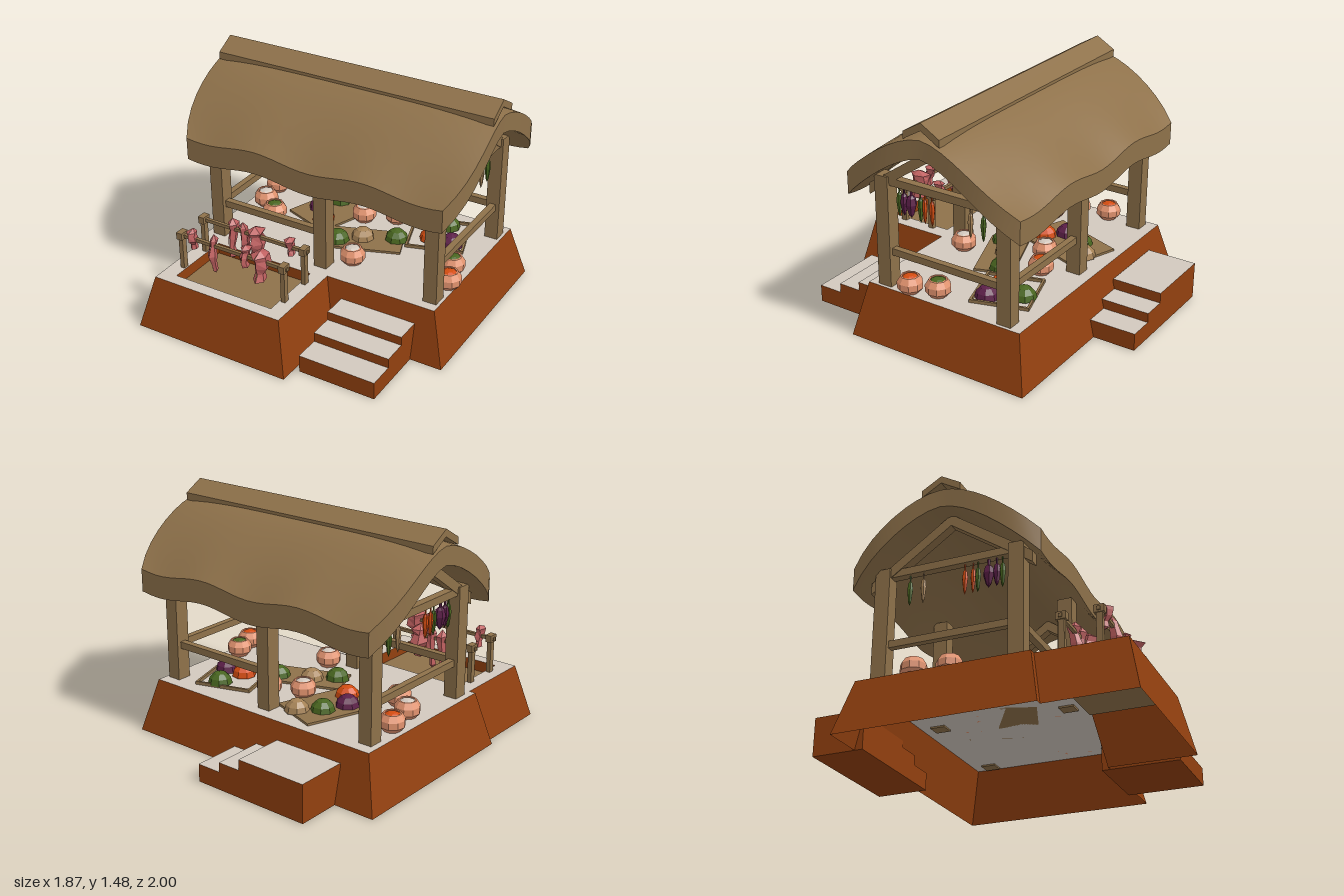
import * as THREE from 'three';
import { toCreasedNormals } from 'three/addons/utils/BufferGeometryUtils.js';

const mat = (name, color, extra = {}) => Object.assign(new THREE.MeshStandardMaterial({ color, ...extra }), { name });
const double = { side: THREE.DoubleSide };
const M = {
  clay: mat('clay', 0x92400f, double),
  plaster: mat('plaster', 0xd2c8be, double),
  wood: mat('wood', 0x8e714a, double),
  meat: mat('meat', 0xbf6060),
  terracotta: mat('terracotta', 0xe2936f, double),
  green: mat('green', 0x48651f),
  purple: mat('purple', 0x5c1f48),
  orange: mat('orange', 0xd34c10),
  tan: mat('tan', 0xa58256),
};
const FLOOR = 0.335, RIDGE_Z = -0.11;

export function createModel() {
  const model = new THREE.Group();
  const add = (name, geo, material, x = 0, y = 0, z = 0) => {
    const mesh = new THREE.Mesh(geo, material);
    mesh.name = name;
    mesh.position.set(x, y, z);
    model.add(mesh);
    return mesh;
  };
  // box given by its limits
  const box = (name, material, x0, x1, y0, y1, z0, z1) =>
    add(name, new THREE.BoxGeometry(x1 - x0, y1 - y0, z1 - z0), material, (x0 + x1) / 2, (y0 + y1) / 2, (z0 + z1) / 2);
  const faceted = (geo) => {
    const g = geo.index ? geo.toNonIndexed() : geo;
    g.computeVertexNormals();
    return g;
  };
  // wall between two closed outlines of [x, z] points
  const wall = (low, y0, high, y1) => {
    const pos = [];
    low.forEach((p, i) => {
      const j = (i + 1) % low.length;
      const a = [p[0], y0, p[1]], b = [low[j][0], y0, low[j][1]];
      const c = [high[j][0], y1, high[j][1]], d = [high[i][0], y1, high[i][1]];
      pos.push(...a, ...b, ...c, ...a, ...c, ...d);
    });
    const g = new THREE.BufferGeometry();
    g.setAttribute('position', new THREE.Float32BufferAttribute(pos, 3));
    return faceted(g);
  };

  // hollow sloping platform with a sunken pit in its front wing
  const foot = [[-0.92, -0.73], [-0.92, 0.47], [-0.88, 0.47], [-0.88, 1], [0.155, 1], [0.155, 0.47], [0.88, 0.47], [0.88, -0.73]];
  const rim = [[-0.83, -0.65], [-0.83, 0.4], [-0.79, 0.4], [-0.79, 0.925], [0.08, 0.925], [0.08, 0.4], [0.79, 0.4], [0.79, -0.65]];
  const pit = [[-0.69, 0.43], [-0.02, 0.43], [-0.02, 0.85], [-0.69, 0.85]];
  add('platformWall', wall(foot, 0, rim, FLOOR), M.clay);
  const flat = (pts) => pts.map(([x, z]) => new THREE.Vector2(x, -z));
  const floor = new THREE.Shape(flat(rim));
  floor.holes.push(new THREE.Path(flat(pit)));
  add('platformFloor', new THREE.ShapeGeometry(floor).rotateX(-Math.PI / 2), M.plaster, 0, FLOOR, 0);
  add('pitWall', wall(pit, FLOOR - 0.07, pit, FLOOR), M.clay);
  add('pitFloor', new THREE.ShapeGeometry(new THREE.Shape(flat(pit))).rotateX(-Math.PI / 2), M.wood, 0, FLOOR - 0.07, 0);

  // stairs with pale treads
  const tread = [M.clay, M.clay, M.plaster, M.clay, M.clay, M.clay];
  [[0.89, 0.72, 0.11], [0.73, 0.575, 0.17], [0.58, 0.42, 0.225]].forEach(([z1, z0, h]) =>
    box('frontStep', tread, 0.19, 0.68, 0, h, z0, z1));
  [[-0.66, -0.2, 0.235], [-0.2, -0.05, 0.17], [-0.05, 0.11, 0.11]].forEach(([x0, x1, h]) =>
    box('backStep', tread, x0, x1, 0, h, -1, -0.68));

  // posts and rails
  for (const x of [-0.748, -0.008, 0.728])
    for (const z of [0.295, -0.533])
      box('post', M.wood, x - 0.043, x + 0.043, FLOOR - 0.01, 1.03, z - 0.046, z + 0.046);
  box('frontRail', M.wood, -0.71, -0.05, 0.535, 0.578, 0.275, 0.315);
  box('backRail', M.wood, 0.03, 0.69, 0.535, 0.578, -0.553, -0.513);

  // bent board running along x
  const chevron = (apex, half, drop, thick, x0, x1) => {
    const s = new THREE.Shape([[0, apex], [-half, apex - drop], [-half, apex - drop - thick], [0, apex - thick],
      [half, apex - drop - thick], [half, apex - drop]].map((p) => new THREE.Vector2(...p)));
    return new THREE.ExtrudeGeometry(s, { depth: x1 - x0, bevelEnabled: false }).rotateY(Math.PI / 2).translate(x0, 0, RIDGE_Z);
  };

  // hanging produce: z, colour, radius
  const strings = [[0.2, 'green', 0.018], [0.165, 'purple', 0.024], [0.115, 'purple', 0.034], [0.05, 'green', 0.018],
    [0.02, 'orange', 0.016], [-0.03, 'orange', 0.018], [-0.29, 'tan', 0.018], [-0.375, 'green', 0.018]];
  for (const x of [-0.748, 0.728]) {
    box('sideRail', M.wood, x - 0.02, x + 0.02, 0.535, 0.578, -0.49, 0.25);
    box('tieBeam', M.wood, x - 0.025, x + 0.025, 0.975, 1.022, -0.49, 0.25);
    add('rafters', chevron(1.305, 0.5, 0.345, 0.07, x - 0.03, x + 0.03), M.wood);
    for (const [z, color, r] of strings) {
      const tip = color === 'purple' ? 0.8 : 0.785;
      const profile = [[0, tip], [r * 0.5, tip + 0.025], [r, 0.885], [r * 0.75, 0.925], [r * 0.25, 0.94], [r * 0.25, 0.98]];
      add('hangingVegetable', faceted(new THREE.LatheGeometry(profile.map((p) => new THREE.Vector2(...p)), 6)), M[color], x, 0, z);
    }
  }

  // thatched roof: closed curved section swept along x, with wavy eaves
  const NX = 28, NT = 16, pos = [], index = [], loop = 2 * (NT + 1);
  const roofPoint = (s, t, inner) => {
    const a = Math.abs(t);
    const x = s * (0.925 + 0.03 * a - 0.105 * a ** 4);
    const wave = 0.02 + 0.02 * Math.cos((x + 0.37) * 8.73);
    const y = (inner ? 1.31 - 0.42 * a ** 1.6 : 1.42 - 0.39 * a ** 1.7) + wave * a ** 4 - 0.035 * s ** 4 * (1 - a ** 4);
    return [x, y, RIDGE_Z + 0.58 * t];
  };
  for (let i = 0; i <= NX; i++) {
    const s = -1 + (2 * i) / NX;
    for (let j = 0; j <= NT; j++) pos.push(...roofPoint(s, -1 + (2 * j) / NT, false));
    for (let j = NT; j >= 0; j--) pos.push(...roofPoint(s, -1 + (2 * j) / NT, true));
  }
  for (let i = 0; i < NX; i++)
    for (let j = 0; j < loop; j++) {
      const a = i * loop + j, b = i * loop + ((j + 1) % loop);
      index.push(a, b, b + loop, a, b + loop, a + loop);
    }
  for (let j = 0; j < NT; j++) {
    const o = j, p = j + 1, q = loop - 2 - j, r = loop - 1 - j, e = NX * loop;
    index.push(o, q, p, o, r, q, e + o, e + p, e + q, e + o, e + q, e + r);
  }
  const roof = new THREE.BufferGeometry();
  roof.setAttribute('position', new THREE.Float32BufferAttribute(pos, 3));
  roof.setIndex(index);
  add('thatchedRoof', toCreasedNormals(roof, 0.7), M.wood);
  add('ridgeCap', chevron(1.48, 0.12, 0.07, 0.045, -0.92, 0.915), M.wood);

  // drying racks
  for (const z of [0.53, 0.745]) {
    box('rackBar', M.wood, -0.74, 0.03, 0.545, 0.566, z - 0.01, z + 0.01);
    for (const x of [-0.712, 0.005]) {
      box('rackPost', M.wood, x - 0.014, x + 0.014, FLOOR - 0.01, 0.58, z - 0.018, z + 0.018);
      box('rackFork', M.wood, x - 0.02, x + 0.02, 0.535, 0.58, z - 0.03, z + 0.03);
    }
  }
  // hanging meat: x, z, bottom, radius
  [[-0.5, 0.53, 0.35, 0.03], [-0.42, 0.53, 0.35, 0.027], [-0.33, 0.53, 0.4, 0.055], [-0.09, 0.53, 0.49, 0.03],
    [-0.63, 0.745, 0.475, 0.03], [-0.485, 0.745, 0.36, 0.025], [-0.26, 0.745, 0.475, 0.03], [-0.15, 0.745, 0.42, 0.05],
  ].forEach(([x, z, y0, r], k) => {
    const h = 0.625 - y0;
    const profile = [[0, 0], [0.7, 0.08], [0.6, 0.3], [0.95, 0.5], [0.8, 0.72], [1, 0.86], [0, 1]];
    const g = new THREE.LatheGeometry(profile.map(([a, b]) => new THREE.Vector2(a * r, b * h)), 5);
    const p = g.attributes.position;
    for (let i = 0; i < p.count; i++) { // uneven, leaning lumps
      const v = p.getY(i) / h, f = 1 + 0.2 * Math.sin(k * 2 + v * 9 + Math.sign(p.getX(i)));
      p.setX(i, p.getX(i) * f);
      p.setZ(i, p.getZ(i) * f * 1.35 + 0.012 * Math.sin(k + v * 6));
    }
    add('hangingMeat', faceted(g), M.meat, x, y0, z);
  });

  // jars with coloured contents
  const jar = [[0, 0], [0.05, 0], [0.077, 0.03], [0.077, 0.07], [0.055, 0.105], [0.045, 0.105], [0.045, 0.09]]
    .map((p) => new THREE.Vector2(...p));
  [[0.745, 0.13, 'orange'], [0.69, -0.03, 'green'], [0.13, 0.19, 'plaster'], [-0.06, -0.28, 'plaster'], [0.13, -0.37, 'orange'],
    [-0.75, -0.33, 'orange'], [-0.71, -0.13, 'plaster'], [-0.57, -0.02, 'green']].forEach(([x, z, color]) => {
    add('jar', faceted(new THREE.LatheGeometry(jar, 9)), M.terracotta, x, FLOOR, z);
    add('jarContents', faceted(new THREE.SphereGeometry(0.052, 7, 3, 0, 6.2832, 0, Math.PI / 2).scale(1, 0.45, 1)), M[color], x, FLOOR + 0.088, z);
  });

  // mats and a framed tray on the floor: x, z, width, depth, turn
  [[-0.28, -0.3, 0.34, 0.5, -0.35], [0.08, -0.06, 0.46, 0.24, 0.35]].forEach(([x, z, w, d, turn]) => {
    add('mat', new THREE.BoxGeometry(w, 0.014, d), M.wood, x, FLOOR + 0.007, z).rotation.y = turn;
  });
  const tray = new THREE.Group();
  tray.name = 'tray';
  tray.position.set(0.44, FLOOR + 0.01, -0.34);
  tray.rotation.y = 0.3;
  for (const s of [-1, 1])
    for (const [w, d, x, z] of [[0.36, 0.014, 0, 0.17 * s], [0.014, 0.34, 0.173 * s, 0]]) {
      const edge = new THREE.Mesh(new THREE.BoxGeometry(w, 0.02, d), M.wood);
      edge.name = 'trayEdge';
      edge.position.set(x, 0, z);
      tray.add(edge);
    }
  model.add(tray);

  // heaps of vegetables
  [[0.24, -0.16, 'green'], [0.42, -0.28, 'orange'], [0.56, -0.28, 'purple'], [0.45, -0.46, 'green'],
    [-0.28, -0.14, 'orange'], [-0.37, -0.25, 'purple'], [-0.3, -0.39, 'green'], [-0.18, -0.48, 'tan'],
    [0.05, -0.07, 'tan'], [-0.07, 0.03, 'green']].forEach(([x, z, color], i) => {
    const heap = add('vegetableHeap', faceted(new THREE.SphereGeometry(0.075, 8, 3, 0, 6.2832, 0, Math.PI / 2)), M[color], x, FLOOR + 0.008, z);
    heap.rotation.y = i;
  });
  return model;
}
